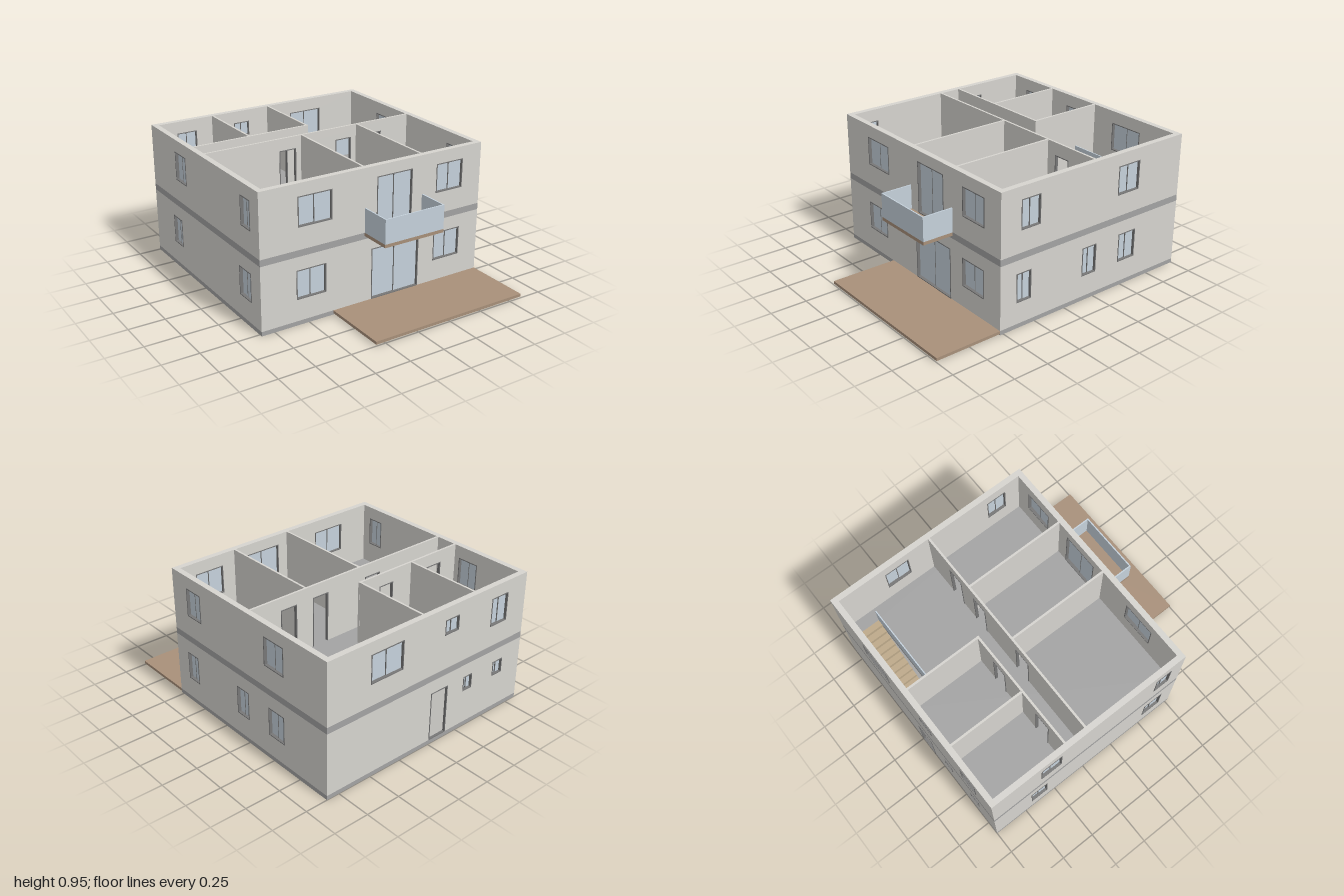
import * as THREE from 'three';

const mat = (color) => new THREE.MeshStandardMaterial({ color });
const WALL = mat(0xd6d4cf), SLAB = mat(0xa3a3a3), FRAME = mat(0x777777);
const GLASS = mat(0xc5d1db), WOOD = mat(0xa8907a), STEP = mat(0xbda98a), DOOR = mat(0xcfcdc9);

// House footprint, wall thicknesses and floor levels
const X = 0.8425, ZB = -1, ZF = 0.525, T = 0.04, TI = 0.015;
const LEVELS = [[0.03, 0.47], [0.515, 0.95]];
const STAIR = { x0: 0.07, x1: 0.715, z0: -0.96, z1: -0.79 };

// Box from its min and max on each axis
function box(parent, name, material, x0, x1, y0, y1, z0, z1) {
  const m = new THREE.Mesh(new THREE.BoxGeometry(x1 - x0, y1 - y0, z1 - z0), material);
  m.position.set((x0 + x1) / 2, (y0 + y1) / 2, (z0 + z1) / 2);
  m.name = name;
  parent.add(m);
  return m;
}

function rectPath(x0, x1, y0, y1) {
  const p = new THREE.Path();
  p.moveTo(x0, y0).lineTo(x0, y1).lineTo(x1, y1).lineTo(x1, y0).closePath();
  return p;
}

// Frame lining an opening, with two panes, a door leaf, or nothing inside
function fitOpening(parent, o, t) {
  const { a, b, y0, y1, kind } = o, f = 0.006, d = t / 2 + 0.003;
  const g = new THREE.Group();
  g.name = kind === 'window' ? 'window' : 'door';
  box(g, 'frameSide', FRAME, a, a + f, y0, y1, -d, d);
  box(g, 'frameSide', FRAME, b - f, b, y0, y1, -d, d);
  box(g, 'frameTop', FRAME, a + f, b - f, y1 - f, y1, -d, d);
  if (kind !== 'doorway') box(g, 'sill', FRAME, a + f, b - f, y0, y0 + f, -d, d);
  if (kind === 'window') {
    const m = (a + b) / 2;
    box(g, 'pane', GLASS, a + f, m, y0 + f, y1 - f, -0.005, 0.001);
    box(g, 'pane', GLASS, m, b - f, y0 + f, y1 - f, -0.001, 0.005);
    box(g, 'mullion', FRAME, m - 0.002, m + 0.002, y0 + f, y1 - f, -0.007, 0.007);
  }
  if (kind === 'door') box(g, 'doorLeaf', DOOR, a + f, b - f, y0 + f, y1 - f, -0.006, 0.006);
  parent.add(g);
}

// Wall running from a to b along x or z, centred on "at"; openings reaching the floor become notches
function wall(parent, name, axis, at, a, b, level, t, openings = []) {
  const [y0, y1] = LEVELS[level];
  const list = openings.map(([oa, ob, kind = 'window', h0 = 0.15, h1 = 0.35]) =>
    ({ a: oa, b: ob, kind, y0: y0 + h0, y1: y0 + h1 })).sort((p, q) => p.a - q.a);
  const s = new THREE.Shape();
  s.moveTo(a, y0);
  for (const o of list) {
    if (o.y0 > y0 + 1e-6) s.holes.push(rectPath(o.a, o.b, o.y0, o.y1));
    else s.lineTo(o.a, y0).lineTo(o.a, o.y1).lineTo(o.b, o.y1).lineTo(o.b, y0);
  }
  s.lineTo(b, y0).lineTo(b, y1).lineTo(a, y1).closePath();
  const geo = new THREE.ExtrudeGeometry(s, { depth: t, bevelEnabled: false });
  geo.translate(0, 0, -t / 2);
  const g = new THREE.Group();
  g.name = name;
  const m = new THREE.Mesh(geo, WALL);
  m.name = name + 'Panel';
  g.add(m);
  list.forEach((o) => fitOpening(g, o, t));
  if (axis === 'x') g.position.z = at;
  else { g.rotation.y = -Math.PI / 2; g.position.x = at; }
  parent.add(g);
}

// Shorthands for full-height openings
const patio = (a, b) => [a, b, 'window', 0, 0.36];
const doorway = (a, b) => [a, b, 'doorway', 0, 0.35];
const small = (a, b) => [a, b, 'window', 0.245, 0.35];

const OUTER = [
  {
    front: [[-0.59, -0.375], patio(-0.03, 0.345), [0.47, 0.685]],
    back: [[-0.155, -0.007, 'door', 0, 0.35], small(-0.38, -0.3), small(-0.67, -0.58)],
    left: [[0.285, 0.4], [-0.26, -0.14], [-0.61, -0.46]],
    right: [[-0.7, -0.57], [0.26, 0.41]],
  },
  {
    front: [[-0.575, -0.33], patio(0.005, 0.28), [0.475, 0.69]],
    back: [[0.25, 0.51], small(-0.22, -0.1), [-0.67, -0.52]],
    left: [[0.22, 0.37], [-0.615, -0.43]],
    right: [[-0.62, -0.46], [0.3, 0.42]],
  },
];

// Partitions: axis, position, start, end, openings
const XI = X - T, ZBI = ZB + T, ZFI = ZF - T;
const INNER = [
  [
    ['x', -0.412, -XI, -0.22, [doorway(-0.66, -0.53), doorway(-0.38, -0.27)]],
    ['z', -0.45, ZBI, -0.42],
    ['z', -0.228, ZBI, -0.42],
    ['x', -0.252, -XI, -0.22, [doorway(-0.4, -0.27)]],
    ['z', -0.228, -0.245, ZFI],
  ],
  [
    ['x', -0.412, -XI, 0.07, [doorway(-0.66, -0.53), doorway(-0.22, -0.1)]],
    ['z', -0.388, ZBI, -0.42],
    ['z', 0.062, ZBI, -0.42],
    ['x', -0.252, -XI, XI, [doorway(-0.255, -0.125), doorway(0.195, 0.32), doorway(0.45, 0.575)]],
    ['z', -0.078, -0.245, ZFI],
    ['z', 0.37, -0.245, ZFI],
  ],
];

export function createModel() {
  const house = new THREE.Group();
  house.name = 'house';

  // Ground slab and terrace
  box(house, 'groundSlab', SLAB, -X, X, 0, 0.03, ZB, ZF);
  box(house, 'terrace', WOOD, -0.32, X, 0.01, 0.03, ZF, 1);

  // Upper floor slab with the stair opening
  const s = new THREE.Shape();
  s.moveTo(-X, -ZF).lineTo(X, -ZF).lineTo(X, -ZB).lineTo(-X, -ZB).closePath();
  s.holes.push(rectPath(STAIR.x0, STAIR.x1, -STAIR.z1, -STAIR.z0));
  const slab = new THREE.Mesh(new THREE.ExtrudeGeometry(s, { depth: 0.045, bevelEnabled: false }), SLAB);
  slab.rotation.x = -Math.PI / 2;
  slab.position.y = 0.47;
  slab.name = 'upperFloorSlab';
  house.add(slab);

  // Outer walls and partitions of both storeys
  OUTER.forEach((o, level) => {
    const storey = new THREE.Group();
    storey.name = level ? 'upperStorey' : 'groundStorey';
    wall(storey, 'frontWall', 'x', ZF - T / 2, -X, X, level, T, o.front);
    wall(storey, 'backWall', 'x', ZB + T / 2, -X, X, level, T, o.back);
    wall(storey, 'leftWall', 'z', X - T / 2, ZBI, ZFI, level, T, o.left);
    wall(storey, 'rightWall', 'z', -X + T / 2, ZBI, ZFI, level, T, o.right);
    INNER[level].forEach(([axis, at, a, b, list]) => wall(storey, 'partition', axis, at, a, b, level, TI, list));
    house.add(storey);
  });

  // Staircase
  const stairs = new THREE.Group();
  stairs.name = 'stairs';
  const n = 15, run = (STAIR.x1 - STAIR.x0) / n, rise = (0.515 - 0.03) / n;
  for (let i = 0; i < n; i++) {
    const x = STAIR.x0 + i * run, top = 0.03 + (i + 1) * rise;
    box(stairs, 'step', STEP, x, x + run, Math.max(0.03, top - 2 * rise), top, STAIR.z0, STAIR.z1);
  }
  box(stairs, 'stairRail', GLASS, STAIR.x0, STAIR.x1, 0.515, 0.68, STAIR.z1, STAIR.z1 + 0.008);
  house.add(stairs);

  // Balcony with glass railing
  const balcony = new THREE.Group();
  balcony.name = 'balcony';
  const bx0 = -0.085, bx1 = 0.37, bz = 0.747, r = 0.009;
  box(balcony, 'balconyFloor', WOOD, bx0, bx1, 0.492, 0.515, ZF, bz);
  box(balcony, 'frontRail', GLASS, bx0, bx1, 0.515, 0.682, bz - r, bz);
  box(balcony, 'sideRail', GLASS, bx0, bx0 + r, 0.515, 0.682, ZF, bz - r);
  box(balcony, 'sideRail', GLASS, bx1 - r, bx1, 0.515, 0.682, ZF, bz - r);
  house.add(balcony);

  return house;
}
